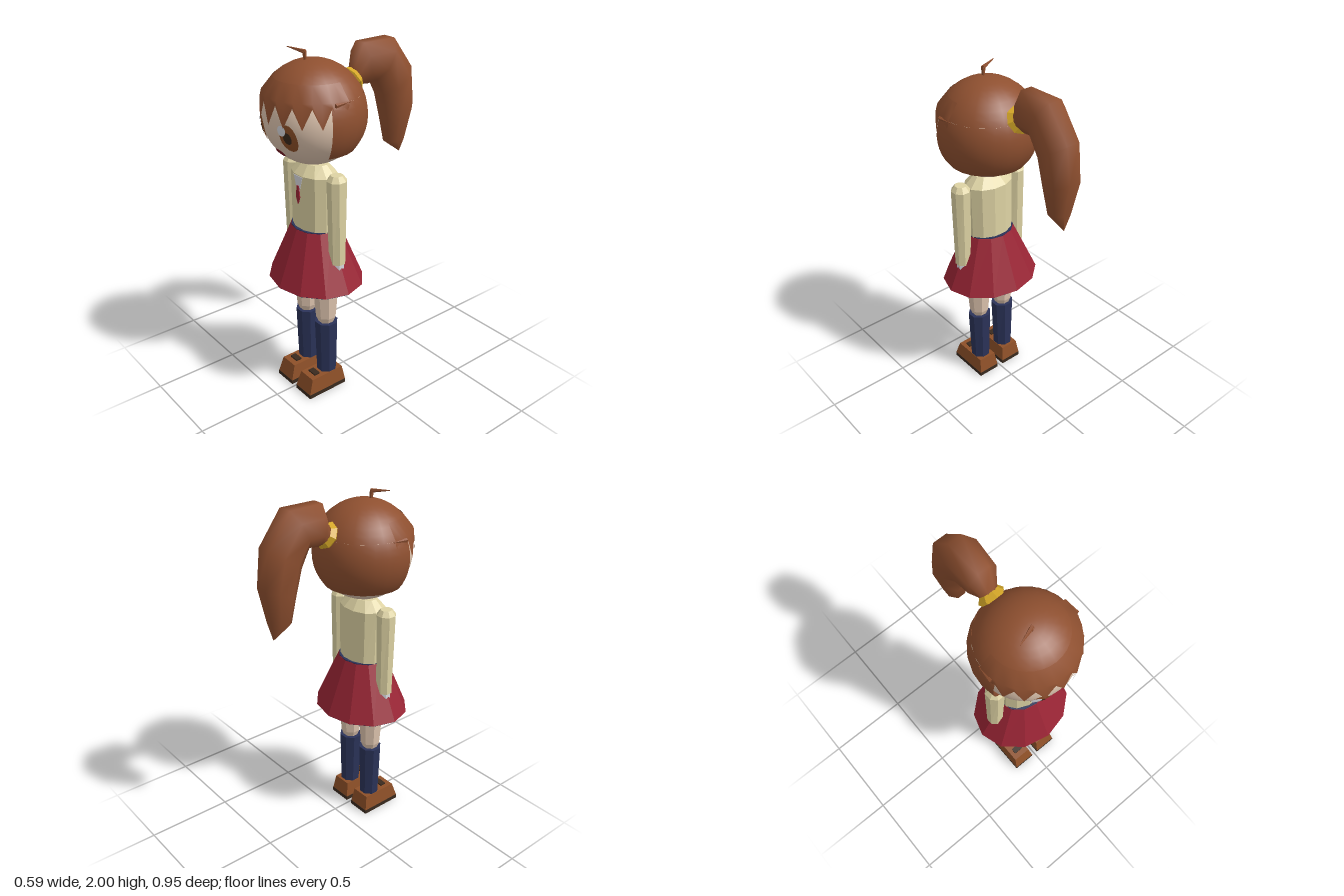
import * as THREE from 'three';

const mat = (name, color) => {
  const m = new THREE.MeshStandardMaterial({ color });
  m.name = name;
  return m;
};

export function createModel() {
  const model = new THREE.Group();
  const hair = mat('hairBrown', 0x8f5030), skin = mat('skin', 0xe0c6b0), cream = mat('cream', 0xded3a4);
  const red = mat('skirtRed', 0x9a2535), navy = mat('navy', 0x2b3359), sole = mat('darkBrown', 0x3a2a1e);
  const shoeBrown = mat('shoeBrown', 0x8e5028), gold = mat('gold', 0xd6a828);
  const white = mat('white', 0xd9dae0), mouthRed = mat('mouthRed', 0x7a1a24);
  hair.side = THREE.DoubleSide;
  const CZ = 0.2, HEAD = 1.664, FACE = 0.266, SHELL = 0.284;

  const add = (name, geo, material, parent = model) => {
    const mesh = new THREE.Mesh(geo, material);
    mesh.name = name;
    parent.add(mesh);
    return mesh;
  };
  const flat = (geo) => {
    const g = geo.index ? geo.toNonIndexed() : geo;
    g.computeVertexNormals();
    return g;
  };

  // Skin a list of point rings, closing both ends with fans
  const skinRings = (rings) => {
    const n = rings[0].length, pos = [], idx = [];
    rings.forEach((r) => r.forEach((p) => pos.push(p.x, p.y, p.z)));
    for (let i = 0; i < rings.length - 1; i++) {
      for (let j = 0; j < n; j++) {
        const k = (j + 1) % n, a = i * n + j, b = i * n + k;
        idx.push(a, b, b + n, a, b + n, a + n);
      }
    }
    const top = (rings.length - 1) * n;
    for (let j = 1; j < n - 1; j++) idx.push(0, j + 1, j, top, top + j, top + j + 1);
    const g = new THREE.BufferGeometry();
    g.setAttribute('position', new THREE.Float32BufferAttribute(pos, 3));
    g.setIndex(idx);
    g.computeVertexNormals();
    return g;
  };

  // Faceted upright form; rows are [y, half width, half depth, z], with a flat face at the front
  const loft = (rows, sides, cx = 0, offset = 0.5) => {
    const s = offset ? 1 / Math.cos(Math.PI / sides) : 1;
    return flat(skinRings(rows.map(([y, rx, rz, cz = CZ]) => Array.from({ length: sides }, (_, j) => {
      const a = ((j + offset) / sides) * Math.PI * 2;
      return new THREE.Vector3(cx + Math.sin(a) * rx * s, y, cz + Math.cos(a) * rz * s);
    }))));
  };

  // Tapered rod between two points
  const rod = (a, b, ra, rb) => {
    const p = new THREE.Vector3(...a), d = new THREE.Vector3(...b).sub(p);
    const g = new THREE.CylinderGeometry(rb, ra, d.length(), 5);
    g.applyQuaternion(new THREE.Quaternion().setFromUnitVectors(new THREE.Vector3(0, 1, 0), d.clone().normalize()));
    const c = p.addScaledVector(d, 0.5);
    return flat(g.translate(c.x, c.y, c.z));
  };

  // Oval patch laid on the face
  const patch = (cx, cy, rx, ry, lift) => {
    const g = new THREE.RingGeometry(0, 1, 16, 4), p = g.attributes.position;
    for (let i = 0; i < p.count; i++) {
      const x = cx + p.getX(i) * rx, y = cy + p.getY(i) * ry;
      p.setXYZ(i, x, y, CZ + Math.sqrt((FACE + lift) ** 2 - x * x - (y - HEAD) ** 2));
    }
    g.computeVertexNormals();
    return g;
  };

  // Head and face
  add('face', new THREE.SphereGeometry(FACE, 32, 24), skin).position.set(0, HEAD, CZ);
  for (const s of [-1, 1]) {
    const x = s * 0.11;
    add('iris', patch(x, 1.605, 0.045, 0.073, 0.004), shoeBrown);
    add('pupil', patch(x, 1.607, 0.021, 0.032, 0.007), sole);
    add('eyeHighlight', patch(x - 0.025, 1.645, 0.023, 0.028, 0.009), white);
  }
  add('mouth', patch(0, 1.497, 0.034, 0.023, 0.004), mouthRed);

  // Hair shell: crown all round, then the back and sides only
  const crownEnd = 1.153;
  add('hairCrown', new THREE.SphereGeometry(SHELL, 20, 8, 0, Math.PI * 2, 0, crownEnd), hair)
    .position.set(0, HEAD, CZ);
  add('hairBack', new THREE.SphereGeometry(SHELL, 14, 8, Math.PI - 0.3, Math.PI + 0.6, crownEnd, 2.25 - crownEnd), hair)
    .position.set(0, HEAD, CZ);

  // Zigzag fringe
  const teeth = 9, cols = teeth * 2 + 1, pos = [], idx = [];
  for (let i = 0; i < cols; i++) {
    const a = (i / (cols - 1) * 2 - 1) * 1.65, tip = i % 2;
    const rows = [[1.866, 0.203], [1.79, 0.264], tip ? [1.66, 0.277] : [1.765, 0.27]];
    for (const [y, r] of rows) pos.push(Math.sin(a) * r, y, CZ + Math.cos(a) * r);
    if (i) {
      for (let k = 0; k < 2; k++) {
        const p = (i - 1) * 3 + k, q = i * 3 + k;
        idx.push(p, p + 1, q + 1, p, q + 1, q);
      }
    }
  }
  const fringe = new THREE.BufferGeometry();
  fringe.setAttribute('position', new THREE.Float32BufferAttribute(pos, 3));
  fringe.setIndex(idx);
  fringe.computeVertexNormals();
  add('fringe', fringe, hair);
  for (const s of [-1, 1]) add('sideStrand', rod([s * 0.262, 1.775, 0.26], [s * 0.262, 1.78, 0.17], 0.012, 0.003), hair);

  // Loose strand on the crown
  add('strandStem', rod([-0.01, 1.93, 0.235], [-0.012, 1.988, 0.24], 0.008, 0.012), hair);
  add('strandTip', rod([-0.008, 1.984, 0.238], [-0.11, 1.998, 0.275], 0.012, 0.002), hair);

  // Ponytail: [outer z, outer y, inner z, inner y, half width]
  const tail = [
    [-0.03, 1.845, -0.08, 1.755, 0.04], [-0.06, 1.86, -0.11, 1.765, 0.05],
    [-0.11, 1.985, -0.135, 1.765, 0.082], [-0.317, 1.985, -0.2, 1.775, 0.097],
    [-0.45, 1.81, -0.25, 1.68, 0.097], [-0.475, 1.605, -0.285, 1.54, 0.088],
    [-0.435, 1.41, -0.31, 1.39, 0.055], [-0.414, 1.31, -0.412, 1.312, 0.002],
  ];
  add('ponytail', skinRings(tail.map(([oz, oy, iz, iy, w]) => Array.from({ length: 8 }, (_, j) => {
    const a = ((j + 0.5) / 8) * Math.PI * 2, s = 1 / Math.cos(Math.PI / 8), c = Math.cos(a) * s / 2;
    return new THREE.Vector3(Math.sin(a) * s * w, (oy + iy) / 2 + c * (oy - iy), (oz + iz) / 2 + c * (oz - iz));
  }))), hair);
  const tie = add('hairTie', flat(new THREE.TorusGeometry(0.056, 0.02, 4, 8)), gold);
  tie.position.set(0, 1.8, -0.058);
  tie.rotation.x = 0.55;
  tie.scale.z = 1.3;

  // Neck and torso
  add('neck', loft([[1.36, 0.06, 0.05], [1.45, 0.06, 0.05]], 8), skin);
  add('torso', loft([[1.02, 0.14, 0.105], [1.345, 0.145, 0.105], [1.4, 0.09, 0.06]], 12), cream);

  // Collar and tie on the chest
  const plate = (points, z) => new THREE.ExtrudeGeometry(
    new THREE.Shape(points.map(([x, y]) => new THREE.Vector2(x, y))), { depth: 0.006, bevelEnabled: false }).translate(0, 0, z);
  add('collar', plate([[-0.038, 1.34], [0, 1.22], [0.038, 1.34]], 0.301), white);
  add('neckTie', plate([[0, 1.18], [0.016, 1.22], [0.008, 1.285], [-0.008, 1.285], [-0.016, 1.22]], 0.306), red);

  // Skirt with dark lining and waistband
  add('skirt', loft([[0.71, 0.295, 0.252], [1.03, 0.148, 0.125]], 12, 0, 0), red);
  add('skirtLining', loft([[0.707, 0.292, 0.249], [0.712, 0.292, 0.249]], 12, 0, 0), navy);
  add('waistband', loft([[1.028, 0.147, 0.124], [1.034, 0.147, 0.124]], 12, 0, 0), navy);

  // Arms and legs
  for (const s of [-1, 1]) {
    const ax = s * 0.194, lx = s * 0.09;
    const arm = new THREE.Group();
    arm.name = s > 0 ? 'leftArm' : 'rightArm';
    add('sleeve', loft([[0.87, 0.045, 0.042], [1.35, 0.05, 0.052], [1.38, 0.03, 0.032]], 8, ax), cream);
    add('hand', loft([[0.78, 0.025, 0.025], [0.84, 0.038, 0.036], [0.872, 0.038, 0.036]], 8, ax), white, arm);
    model.add(arm);

    const leg = new THREE.Group();
    leg.name = s > 0 ? 'leftLeg' : 'rightLeg';
    add('thigh', loft([[0.44, 0.04, 0.04], [0.48, 0.055, 0.055], [0.73, 0.072, 0.073]], 8, lx), skin, leg);
    add('sock', loft([[0.1, 0.053, 0.054], [0.445, 0.064, 0.061]], 8, lx), navy, leg);
    add('shoe', loft([[0.025, 0.068, 0.13, 0.245], [0.115, 0.056, 0.108, 0.238]], 4, lx), shoeBrown, leg);
    add('sole', loft([[0, 0.069, 0.131, 0.245], [0.025, 0.069, 0.131, 0.245]], 4, lx), sole, leg);
    add('shoeStrap', new THREE.BoxGeometry(0.06, 0.014, 0.036).translate(lx, 0.117, 0.294), sole, leg);
    model.add(leg);
  }
  return model;
}
